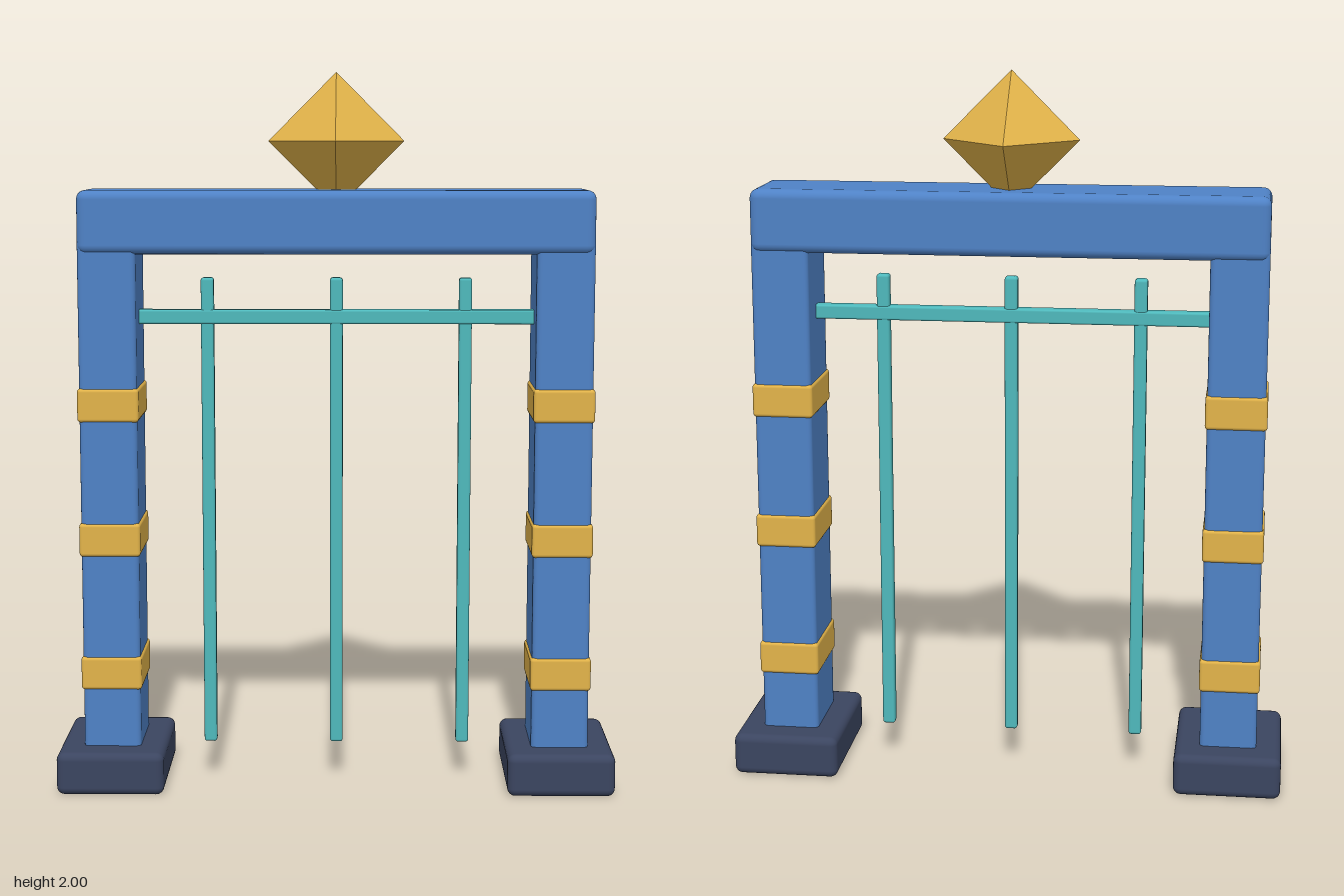
import * as THREE from 'three';
import { RoundedBoxGeometry } from 'three/addons/geometries/RoundedBoxGeometry.js';

export function createModel() {
  const group = new THREE.Group();
  const paint = (color, flatShading = false) => new THREE.MeshStandardMaterial({ color, flatShading });
  const blue = paint(0x4f82c6);
  const gold = paint(0xe3b44a);
  const teal = paint(0x4fb9bc);
  const dark = paint(0x3b4560);

  // Rounded block placed by its centre
  function block(name, material, size, position, radius) {
    const mesh = new THREE.Mesh(new RoundedBoxGeometry(...size, 3, radius), material);
    mesh.name = name;
    mesh.position.set(...position);
    group.add(mesh);
  }

  // Two banded pillars on plinths
  for (const side of [1, -1]) {
    const label = side > 0 ? 'left' : 'right';
    const x = side * 0.63;
    block(label + 'Plinth', dark, [0.3, 0.12, 0.4], [x, 0.06, 0], 0.022);
    block(label + 'Pillar', blue, [0.16, 1.46, 0.23], [x, 0.82, 0], 0.015);
    [0.33, 0.71, 1.088].forEach((y, i) =>
      block(label + 'Band' + (i + 1), gold, [0.17, 0.094, 0.24], [x, y, 0], 0.01));
  }

  // Top beam
  block('beam', blue, [1.42, 0.175, 0.245], [0, 1.592, 0], 0.025);

  // Cross rail and hanging rods
  block('rail', teal, [1.14, 0.04, 0.04], [0, 1.326, 0], 0.006);
  [-0.36, 0, 0.36].forEach((x, i) =>
    block('rod' + (i + 1), teal, [0.036, 1.33, 0.036], [x, 1.77 - 1, 0], 0.008));

  // Faceted crown gem
  const gem = new THREE.Mesh(new THREE.OctahedronGeometry(0.188), paint(0xe3b44a, true));
  gem.name = 'gem';
  gem.position.y = 1.812;
  group.add(gem);

  return group;
}
